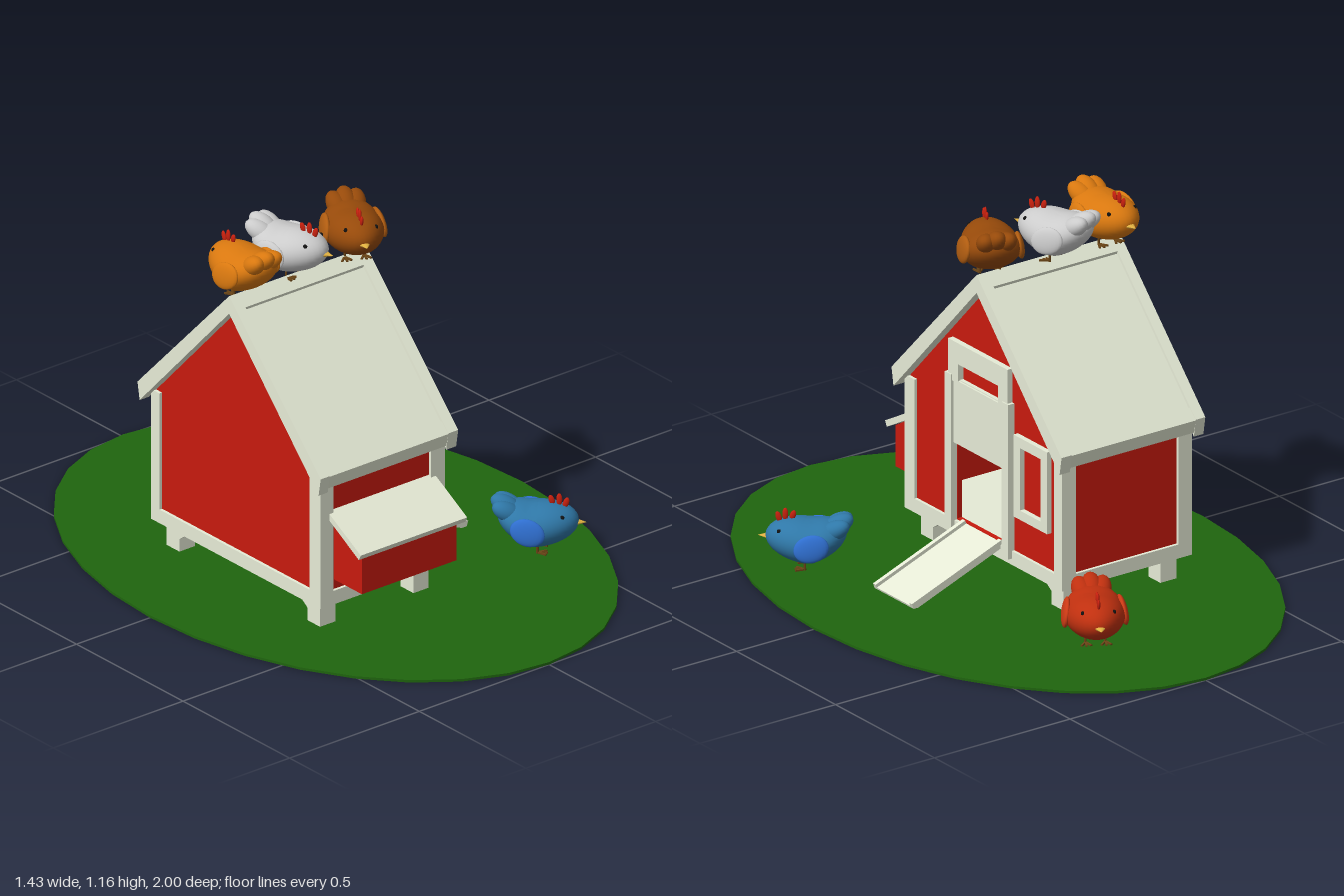
import * as THREE from 'three';

const mat = (color, side = THREE.FrontSide) => new THREE.MeshStandardMaterial({ color, side });
const CREAM = mat(0xe6ebd6), RED = mat(0xc81a0e), GREEN = mat(0x1f650e);
const COMB = mat(0xc8200e), BEAK = mat(0xe0b040), BLACK = mat(0x111111), LEG = mat(0x6b4516);
const ZC = 0.022; // ridge line of the house in z

function add(parent, name, geo, material) {
  const m = new THREE.Mesh(geo, material);
  m.name = name;
  parent.add(m);
  return m;
}

// box given by its limits on each axis
function box(parent, name, material, x0, x1, y0, y1, z0, z1) {
  const m = add(parent, name, new THREE.BoxGeometry(x1 - x0, y1 - y0, z1 - z0), material);
  m.position.set((x0 + x1) / 2, (y0 + y1) / 2, (z0 + z1) / 2);
  return m;
}

// outline of [z, y] points, extruded from x0 to x1
function slab(parent, name, material, pts, x0, x1, holes = []) {
  const v = (list) => list.map(([z, y]) => new THREE.Vector2(z, y));
  const shape = new THREE.Shape(v(pts));
  for (const h of holes) shape.holes.push(new THREE.Path(v(h)));
  const geo = new THREE.ExtrudeGeometry(shape, { depth: x1 - x0, bevelEnabled: false });
  geo.rotateY(-Math.PI / 2).translate(x1, 0, 0);
  return add(parent, name, geo, material);
}
const rect = (z0, z1, y0, y1) => [[z0, y0], [z1, y0], [z1, y1], [z0, y1]];

function ellipsoid(parent, name, material, r, p, rot = [0, 0, 0]) {
  const m = add(parent, name, new THREE.SphereGeometry(1, 20, 14), material);
  m.scale.set(...r);
  m.position.set(...p);
  m.rotation.set(...rot);
  return m;
}

function buildWalls() {
  const g = new THREE.Group();
  g.name = 'walls';
  const gable = [[-0.365, 0.12], [0.41, 0.12], [0.41, 0.53], [ZC, 0.94], [-0.365, 0.53]];
  slab(g, 'leftGable', RED, gable, 0.05, 0.065, [rect(-0.085, 0.165, 0.14, 0.39)]);
  slab(g, 'rightGable', RED, gable, -0.395, -0.38);
  box(g, 'frontWall', RED, -0.38, 0.05, 0.12, 0.53, 0.395, 0.41);
  box(g, 'backWall', RED, -0.38, 0.05, 0.12, 0.53, -0.365, -0.35);
  box(g, 'floor', CREAM, -0.39, 0.06, 0.1, 0.138, -0.36, 0.405);
  // corner posts and sill beams
  for (const [x0, x1] of [[-0.405, -0.355], [0.022, 0.075]])
    for (const [z0, z1] of [[0.37, 0.42], [-0.375, -0.335]])
      box(g, 'cornerPost', CREAM, x0, x1, 0.09, 0.52, z0, z1);
  for (const [z0, z1] of [[0.38, 0.42], [-0.375, -0.335]])
    box(g, 'longSill', CREAM, -0.36, 0.03, 0.09, 0.135, z0, z1);
  for (const [x0, x1] of [[-0.405, -0.365], [0.035, 0.075]])
    box(g, 'gableSill', CREAM, x0, x1, 0.09, 0.135, -0.34, 0.38);
  // braced legs
  for (const [x0, x1] of [[-0.375, -0.315], [-0.015, 0.042]])
    for (const s of [1, -1]) {
      const pts = [[0.36, 0], [0.36, 0.1], [0.25, 0.1], [0.25, 0.085], [0.3, 0.05], [0.3, 0]]
        .map(([z, y]) => [ZC + s * z, y]);
      slab(g, 'leg', CREAM, pts, x0, x1);
    }
  return g;
}

function buildRoof() {
  const g = new THREE.Group();
  g.name = 'roof';
  const topY = (d) => 0.985 - 1.035 * d;
  // strip of the slope between two distances from the ridge
  const strip = (name, s, d0, d1, drop, thick, x0, x1) => slab(g, name, CREAM, [
    [ZC + s * d0, topY(d0) - drop], [ZC + s * d1, topY(d1) - drop],
    [ZC + s * (d1 - 0.01), topY(d1) - thick], [ZC + s * d0, topY(d0) - thick]], x0, x1);
  for (const s of [1, -1]) {
    strip('roofPanel', s, 0, 0.42, 0.013, 0.045, -0.4, 0.07);
    strip('bargeBoard', s, 0, 0.43, 0, 0.058, -0.43, -0.395);
    strip('bargeBoard', s, 0, 0.43, 0, 0.058, 0.062, 0.1);
    strip('ridgeCap', s, 0, 0.034, 0, 0.03, -0.396, 0.063);
    strip('eaveBoard', s, 0.4, 0.43, 0.002, 0.045, -0.396, 0.063);
  }
  return g;
}

function buildDoor() {
  const g = new THREE.Group();
  g.name = 'doorAndWindow';
  box(g, 'slidingDoor', CREAM, 0.06, 0.078, 0.388, 0.6, -0.095, 0.175);
  for (const [z0, z1] of [[0.168, 0.2], [-0.122, -0.088]])
    box(g, 'doorRail', CREAM, 0.06, 0.088, 0.11, 0.61, z0, z1);
  slab(g, 'doorHeader', CREAM, rect(-0.112, 0.188, 0.59, 0.72), 0.06, 0.084,
    [rect(-0.065, 0.137, 0.597, 0.652)]);
  slab(g, 'windowFrame', CREAM, rect(-0.31, -0.14, 0.255, 0.52), 0.06, 0.082,
    [rect(-0.278, -0.172, 0.285, 0.487)]);
  return g;
}

function buildRamp() {
  const g = new THREE.Group();
  g.name = 'ramp';
  const len = Math.hypot(0.33, 0.125);
  box(g, 'rampBoard', CREAM, 0, len, -0.02, -0.007, -0.06, 0.13);
  for (const z of [-0.065, 0.118]) box(g, 'rampRail', CREAM, 0, len, -0.02, 0.004, z, z + 0.014);
  g.position.set(0.07, 0.146, 0);
  g.rotation.z = -Math.atan2(0.125, 0.33);
  return g;
}

function buildNestBox() {
  const g = new THREE.Group();
  g.name = 'nestBox';
  slab(g, 'nestBoxBody', RED, [[0.4, 0.167], [0.542, 0.167], [0.542, 0.3], [0.4, 0.385]], -0.345, 0.02);
  slab(g, 'nestBoxLid', CREAM, [[0.41, 0.378], [0.558, 0.294], [0.567, 0.312], [0.41, 0.4]], -0.37, 0.04);
  return g;
}

// hen facing +z with its feet at y = 0
function buildHen(name, color, wingColor) {
  const g = new THREE.Group();
  g.name = name;
  const skin = mat(color), wing = mat(wingColor);
  // egg-shaped body: narrower towards the head, rump swept up
  const geo = new THREE.SphereGeometry(1, 32, 22);
  const p = geo.attributes.position;
  for (let i = 0; i < p.count; i++) {
    const x = p.getX(i), y = p.getY(i), u = p.getZ(i);
    const lift = 0.035 * Math.max(0, -u - 0.2) + 0.012 * Math.max(0, u);
    p.setXYZ(i, x * 0.09 * (1 - 0.14 * u), 0.087 + y * 0.068 + lift, u * 0.122);
  }
  geo.computeVertexNormals();
  add(g, 'body', geo, skin);
  // three tail lobes
  for (const s of [-1, 0, 1])
    ellipsoid(g, 'tailLobe', skin, [0.032, 0.03, 0.056],
      [s * 0.027, 0.138 - Math.abs(s) * 0.008, -0.092 + Math.abs(s) * 0.006], [0.55, -s * 0.25, 0]);
  for (const s of [-1, 1]) {
    ellipsoid(g, 'wing', wing, [0.014, 0.042, 0.054], [s * 0.085, 0.092, -0.026], [0.3, s * 0.12, s * 0.12]);
    ellipsoid(g, 'eye', BLACK, [0.006, 0.007, 0.007], [s * 0.047, 0.128, 0.075]);
    // leg with three toes
    const leg = add(g, 'leg', new THREE.CylinderGeometry(0.004, 0.004, 0.04, 6), LEG);
    leg.position.set(s * 0.03, 0.02, 0);
    for (const a of [-0.5, 0, 0.5]) {
      const toe = add(g, 'toe', new THREE.BoxGeometry(0.006, 0.005, 0.034), LEG);
      toe.position.set(s * 0.03 + Math.sin(a) * 0.014, 0.003, Math.cos(a) * 0.014);
      toe.rotation.y = a;
    }
  }
  // comb of three points along the crown
  [[0.04, 0.164, 0.016], [0.063, 0.166, 0.02], [0.083, 0.156, 0.018]].forEach(([z, y, h], i) =>
    ellipsoid(g, 'comb', COMB, [0.005, h, 0.009], [0, y, z], [(i - 1) * 0.3, 0, 0]));
  const beak = add(g, 'beak', new THREE.ConeGeometry(0.02, 0.035, 10), BEAK);
  beak.rotation.x = Math.PI / 2;
  beak.scale.z = 0.45;
  beak.position.set(0, 0.094, 0.128);
  return g;
}

export function createModel() {
  const model = new THREE.Group();
  model.name = 'henHouse';

  const ground = add(model, 'ground', new THREE.CylinderGeometry(1, 1, 0.008, 32), GREEN);
  ground.scale.set(0.717, 1, 1);
  ground.position.y = 0.004;

  const house = new THREE.Group();
  house.name = 'house';
  house.add(buildWalls(), buildRoof(), buildDoor(), buildRamp(), buildNestBox());
  model.add(house);

  // name, body colour, wing colour, position, facing direction (x, z)
  const hens = [
    ['orangeHen', 0xd9780f, 0xd9780f, [-0.373, 0.975, 0.012], [0, -1]],
    ['whiteHen', 0xcccccc, 0xcccccc, [-0.178, 0.975, 0.006], [0.38, 1]],
    ['brownHen', 0x974a0a, 0xb05c10, [0.042, 0.975, 0.035], [-0.45, 1]],
    ['redHen', 0xc0300f, 0xcc3a14, [0.108, 0.008, -0.59], [0.5, -0.9]],
    ['blueHen', 0x2f78a8, 0x2f6fd0, [0.463, 0.008, 0.385], [0.75, 0.72]],
  ];
  for (const [name, color, wingColor, pos, [dx, dz]] of hens) {
    const hen = buildHen(name, color, wingColor);
    hen.position.set(...pos);
    hen.rotation.y = Math.atan2(dx, dz);
    model.add(hen);
  }
  return model;
}
